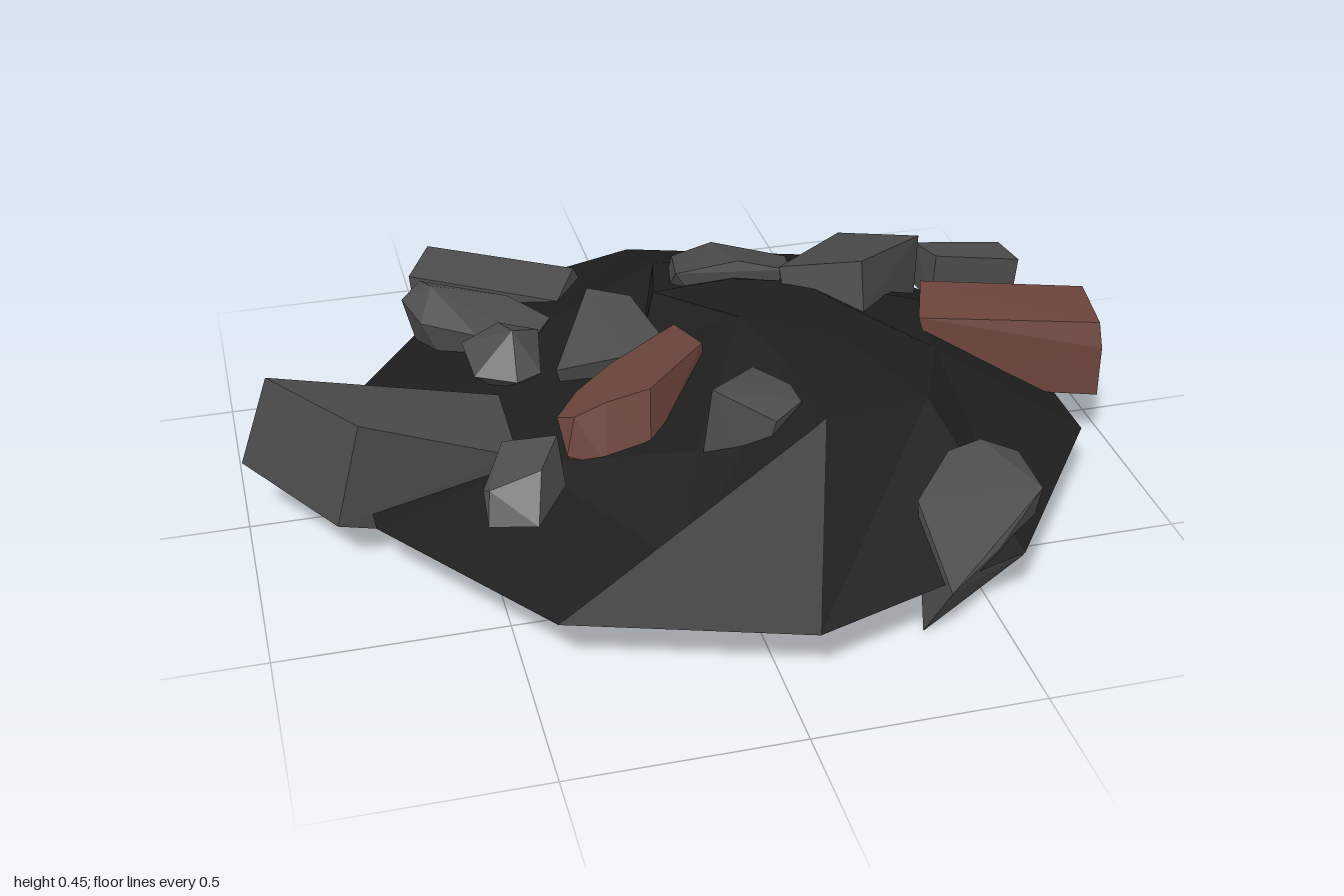
import * as THREE from 'three';
import { ConvexGeometry } from 'three/addons/geometries/ConvexGeometry.js';

const mat = (name, color, extra = {}) => {
  const m = new THREE.MeshStandardMaterial({ color, flatShading: true, ...extra });
  m.name = name;
  return m;
};

// Hollow ten-sided mound: rim circle, two rings and a centre
function moundGeometry() {
  const rim = [];
  for (let i = 0; i < 10; i++) {
    const a = i * Math.PI / 5;
    rim.push([0.06 + 0.845 * Math.sin(a), 0.15, 0.018 + 0.845 * Math.cos(a)]);
  }
  const mid = [
    [0.2, 0.37, 0.43], [0.46, 0.33, 0.34], [0.56, 0.315, 0.12], [0.58, 0.3, -0.15], [0.42, 0.28, -0.42],
    [0.05, 0.28, -0.5], [-0.22, 0.22, -0.4], [-0.4, 0.21, -0.15], [-0.4, 0.21, 0.2], [-0.16, 0.2, 0.64],
  ];
  const inner = [
    [0.18, 0.38, 0.2], [0.34, 0.38, 0.14], [0.38, 0.375, -0.03], [0.33, 0.36, -0.18], [0.18, 0.35, -0.25],
    [-0.01, 0.34, -0.25], [-0.07, 0.28, -0.12], [-0.13, 0.26, 0], [-0.1, 0.27, 0.15], [-0.06, 0.28, 0.35],
  ];
  const centre = [0.13, 0.39, 0];
  const pos = [];
  const tri = (...p) => p.forEach(v => pos.push(...v));
  for (let i = 0; i < 10; i++) {
    const j = (i + 1) % 10;
    for (const [a, b] of [[rim, mid], [mid, inner]]) {
      tri(a[i], a[j], b[j]);
      tri(a[i], b[j], b[i]);
    }
    tri(inner[i], inner[j], centre);
  }
  const g = new THREE.BufferGeometry();
  g.setAttribute('position', new THREE.Float32BufferAttribute(pos, 3));
  g.computeVertexNormals();
  return g;
}

export function createModel() {
  const group = new THREE.Group();
  const soil = mat('charred soil', 0x1e1e1e, { side: THREE.DoubleSide });
  const stone = mat('grey concrete', 0x4c4c4c);
  const brick = mat('red brick', 0x6c443b);

  const add = (name, geometry, material) => {
    const mesh = new THREE.Mesh(geometry, material);
    mesh.name = name;
    group.add(mesh);
  };
  // Angular lump wrapped around a few corner points
  const chunk = (name, material, pts) =>
    add(name, new ConvexGeometry(pts.map(p => new THREE.Vector3(...p))), material);

  add('mound', moundGeometry(), soil);

  // Large concrete pieces
  chunk('largeWedge', stone, [
    [-1, 0.18, 0], [-0.93, 0.4, 0.02], [-0.82, 0.135, 0.23], [-0.76, 0.385, 0.24],
    [-0.42, 0.25, -0.03], [-0.42, 0.23, 0.2], [-0.48, 0.02, 0.18], [-0.48, 0.03, -0.04],
  ]);
  chunk('backBeam', stone, [
    [-0.46, 0.22, -0.84], [-0.12, 0.21, -0.65], [-0.19, 0.2, -0.51], [-0.53, 0.22, -0.69],
    [-0.43, 0.14, -0.87], [-0.09, 0.14, -0.68], [-0.19, 0.13, -0.53], [-0.52, 0.12, -0.68],
  ]);
  chunk('backBoulder', stone, [
    [-0.57, 0.25, -0.52], [-0.52, 0.28, -0.55], [-0.54, 0.24, -0.41], [-0.5, 0.29, -0.5],
    [-0.32, 0.25, -0.48], [-0.23, 0.22, -0.4], [-0.3, 0.22, -0.29], [-0.42, 0.24, -0.32],
    [-0.19, 0.01, -0.39], [-0.28, 0.04, -0.28], [-0.45, 0.05, -0.38], [-0.34, 0.06, -0.53],
    [-0.54, 0.13, -0.5], [-0.49, 0.1, -0.55],
  ]);
  chunk('frontBoulder', stone, [
    [0.36, 0.15, 0.8], [0.33, 0.01, 0.73], [0.35, 0.25, 0.6], [0.46, 0.28, 0.48],
    [0.54, 0.285, 0.46], [0.63, 0.24, 0.46], [0.64, 0.22, 0.58], [0.5, 0.17, 0.7],
    [0.61, 0.05, 0.58], [0.62, 0.1, 0.43], [0.42, 0.08, 0.46],
  ]);
  chunk('tiltedSlab', stone, [
    [0.44, 0.455, -0.07], [0.28, 0.4, -0.19], [0.51, 0.33, -0.45], [0.68, 0.355, -0.34],
    [0.44, 0.34, -0.04], [0.29, 0.26, -0.15], [0.34, 0.2, -0.37], [0.66, 0.18, -0.3],
    [0.41, 0.06, -0.345], [0.59, 0.06, -0.37],
  ]);

  // Smaller concrete pieces
  chunk('backBlock', stone, [
    [0.05, 0.37, -0.27], [0.09, 0.31, -0.47], [0.19, 0.335, -0.47], [0.2, 0.39, -0.26],
    [0.36, 0.31, -0.4], [0.32, 0.36, -0.24], [0.2, 0.12, -0.4], [0.23, 0.08, -0.28],
    [0.28, 0.08, -0.3], [0.3, 0.13, -0.4], [0.04, 0.23, -0.39],
  ]);
  chunk('middleShard', stone, [
    [-0.28, 0.27, -0.07], [-0.16, 0.35, -0.29], [-0.07, 0.35, -0.23], [-0.03, 0.32, -0.07],
    [-0.12, 0.32, -0.01], [-0.25, 0.15, -0.1], [-0.14, 0.12, -0.25], [-0.06, 0.13, -0.08],
  ]);
  chunk('frontShard', stone, [
    [-0.03, 0.435, 0.36], [0.09, 0.41, 0.25], [0.16, 0.385, 0.3], [0.17, 0.37, 0.35],
    [0.1, 0.36, 0.4], [-0.05, 0.27, 0.36], [0.02, 0.2, 0.28], [0.13, 0.16, 0.33], [0.05, 0.17, 0.4],
  ]);
  chunk('leftPebble', stone, [
    [-0.47, 0.28, -0.23], [-0.38, 0.31, -0.25], [-0.29, 0.29, -0.23], [-0.36, 0.33, -0.17],
    [-0.31, 0.25, -0.1], [-0.37, 0.25, -0.07], [-0.46, 0.25, -0.12], [-0.4, 0.18, -0.17], [-0.33, 0.18, -0.18],
  ]);
  chunk('frontPebble', stone, [
    [-0.52, 0.25, 0.34], [-0.46, 0.3, 0.24], [-0.35, 0.33, 0.29], [-0.4, 0.3, 0.37],
    [-0.51, 0.26, 0.36], [-0.42, 0.2, 0.43], [-0.52, 0.19, 0.39], [-0.34, 0.22, 0.32], [-0.44, 0.16, 0.26],
    [-0.4, 0.14, 0.32],
  ]);
  chunk('sideBar', stone, [
    [0.69, 0.31, -0.39], [0.71, 0.32, -0.29], [0.93, 0.26, -0.43], [0.945, 0.26, -0.33],
    [0.69, 0.2, -0.38], [0.7, 0.2, -0.28], [0.92, 0.15, -0.42], [0.93, 0.155, -0.32],
  ]);

  // Red masonry pieces
  chunk('sideBrick', brick, [
    [0.61, 0.35, -0.13], [0.55, 0.345, 0.03], [0.94, 0.35, 0.16], [0.97, 0.35, -0.01],
    [0.995, 0.29, 0], [0.945, 0.29, 0.175], [0.995, 0.165, 0], [0.945, 0.165, 0.175],
    [0.64, 0.165, -0.11], [0.6, 0.165, 0.05],
  ]);
  chunk('middleBrick', brick, [
    [-0.33, 0.31, 0.19], [-0.27, 0.32, 0.11], [-0.18, 0.335, 0.04], [0, 0.34, -0.09],
    [0.03, 0.365, 0.05], [-0.13, 0.37, 0.22], [-0.23, 0.36, 0.235], [-0.3, 0.33, 0.23],
    [-0.32, 0.24, 0.24], [-0.24, 0.22, 0.27], [-0.14, 0.24, 0.265], [-0.26, 0.135, 0.2],
    [-0.14, 0.13, 0.25], [0.05, 0.14, 0.03], [-0.05, 0.13, -0.06],
  ]);
  return group;
}
